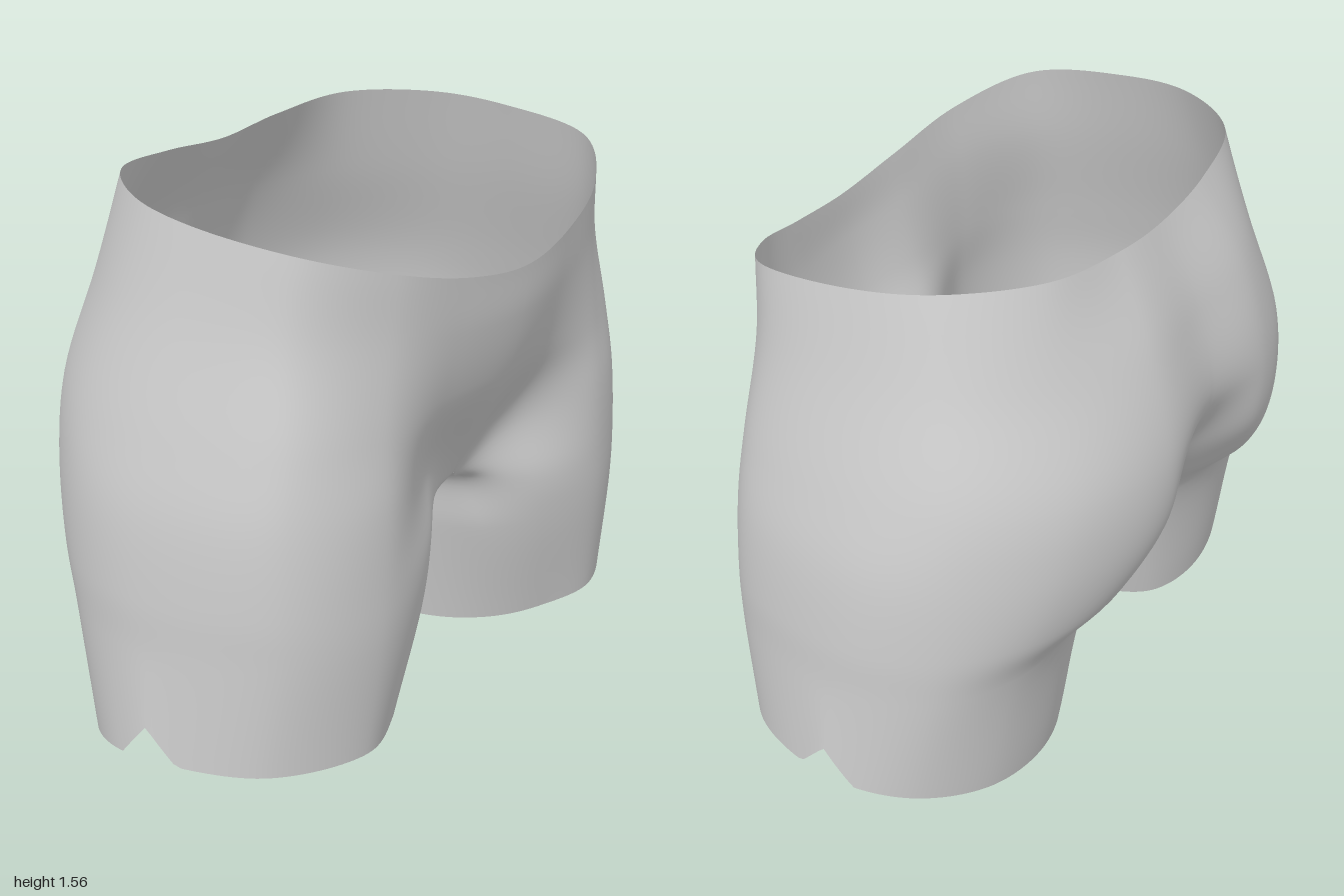
import * as THREE from 'three';
import { mergeVertices } from 'three/addons/utils/BufferGeometryUtils.js';

const V = (x, y, z) => new THREE.Vector3(x, y, z);
const points = (list) => list.map((p) => V(...p));
const mirror = (p) => V(-p.x, p.y, p.z);

// Cross-sections of the left half, running front -> outside -> back (points 0-8)
// and, on the leg, back along the inside (points 9-12).
const hem = points([
  [0.28, 0.075, 0.395], [0.41, 0.08, 0.475], [0.61, 0.09, 0.53], [0.88, 0.1, 0.385], [1, 0.105, 0.06],
  [0.93, 0.07, -0.15], [0.74, 0.028, -0.3], [0.5, 0.005, -0.34], [0.31, 0.006, -0.285],
  [0.215, 0.025, -0.16], [0.165, 0.055, -0.01], [0.14, 0.07, 0.1], [0.19, 0.07, 0.27],
]);
const thigh = points([
  [0.17, 0.42, 0.4], [0.32, 0.42, 0.51], [0.59, 0.42, 0.562], [0.86, 0.42, 0.425], [0.98, 0.42, 0.05],
  [0.91, 0.42, -0.22], [0.72, 0.44, -0.375], [0.46, 0.46, -0.418], [0.22, 0.44, -0.33],
  [0.125, 0.42, -0.21], [0.095, 0.42, -0.06], [0.09, 0.42, 0.1], [0.11, 0.42, 0.26],
]);
const upperThigh = points([
  [0.11, 0.6, 0.37], [0.27, 0.58, 0.5], [0.58, 0.57, 0.565], [0.86, 0.57, 0.425], [0.975, 0.57, 0.03],
  [0.905, 0.57, -0.24], [0.7, 0.58, -0.44], [0.4, 0.595, -0.525], [0.12, 0.6, -0.37],
  [0.068, 0.595, -0.22], [0.056, 0.595, -0.07], [0.056, 0.595, 0.08], [0.068, 0.595, 0.23],
]);
const crotch = points([
  [0, 0.67, 0.4], [0.21, 0.76, 0.45], [0.55, 0.8, 0.56], [0.84, 0.8, 0.42], [0.95, 0.8, 0.03],
  [0.885, 0.8, -0.25], [0.65, 0.8, -0.5], [0.3, 0.79, -0.607], [0, 0.77, -0.46],
]);
const seam = points([[0, 0.655, -0.3], [0, 0.615, -0.1], [0, 0.607, 0.09], [0, 0.62, 0.26]]);
const hip = points([
  [0, 1, 0.56], [0.25, 1, 0.54], [0.55, 1, 0.54], [0.8, 1, 0.41], [0.9, 1, 0.05],
  [0.84, 1, -0.255], [0.62, 1, -0.5], [0.31, 1, -0.615], [0, 1, -0.583],
]);
const belly = points([
  [0, 1.2, 0.61], [0.25, 1.21, 0.585], [0.52, 1.25, 0.53], [0.745, 1.28, 0.375], [0.81, 1.3, 0.07],
  [0.762, 1.3, -0.19], [0.58, 1.29, -0.41], [0.3, 1.28, -0.54], [0, 1.27, -0.53],
]);
const waist = points([
  [0, 1.34, 0.62], [0.25, 1.37, 0.6], [0.5, 1.435, 0.54], [0.705, 1.505, 0.385], [0.75, 1.54, 0.09],
  [0.7, 1.56, -0.14], [0.515, 1.565, -0.355], [0.25, 1.543, -0.415], [0, 1.523, -0.42],
]);

const S = 16; // columns per section point
const M = 8; // rows per section
const OUTER = 8 * S;
const COLS = 13 * S;

// Sample a smooth curve from point `from` over `segs` spans
function sample(pts, from, segs, step, closed = false) {
  const curve = new THREE.CatmullRomCurve3(pts, closed);
  const spans = closed ? pts.length : pts.length - 1;
  return Array.from({ length: segs * step + 1 }, (_, i) =>
    curve.getPoint(Math.min(1, (from + i / step) / spans)));
}

const legRing = (pts) => sample(pts, 0, 13, S, true).slice(0, COLS);
// Half ring that crosses the centre line smoothly
const bodyArc = (pts) => sample([mirror(pts[1]), ...pts, mirror(pts[7])], 1, 8, S);

function buildColumns() {
  const seamLine = sample([hip[8], crotch[8], ...seam, crotch[0], hip[0]], 1, 5, S);
  const rings = [
    ...[hem, thigh, upperThigh].map(legRing),
    [...bodyArc(crotch), ...seamLine.slice(1, -1)],
    ...[hip, belly, waist].map(bodyArc),
  ];
  const columns = [];
  for (let j = 0; j < COLS; j++) {
    // Outer columns run hem to waist, inner ones end on the centre seam
    const column = j <= OUTER
      ? sample(rings.map((r) => r[j]), 0, 6, M)
      : sample([...rings.slice(0, 4).map((r) => r[j]), mirror(rings[2][j])], 0, 3, M);
    // V notch in the outer hem
    const foot = column[0].clone();
    if (foot.x > 0.8) {
      const lift = 0.1 * Math.max(0, 1 - Math.abs(foot.z - 0.08) / 0.09);
      for (const p of column) p.y += lift * Math.max(0, 1 - (p.y - foot.y) / 0.3);
    }
    columns.push(column);
  }
  return columns;
}

function shortsGeometry() {
  const columns = buildColumns();
  const positions = [];
  const index = [];
  for (const side of [1, -1]) {
    const ids = columns.map((column) => column.map((p) => {
      positions.push(Math.abs(p.x) < 1e-5 ? 0 : side * p.x, p.y, p.z);
      return positions.length / 3 - 1;
    }));
    for (let j = 0; j < COLS; j++) {
      const here = ids[j];
      const next = ids[(j + 1) % COLS];
      const rows = j < OUTER ? 6 * M : 3 * M;
      for (let i = 0; i < rows; i++) {
        const [a, b, c, d] = [here[i], next[i], next[i + 1], here[i + 1]];
        if (side > 0) index.push(a, b, c, a, c, d);
        else index.push(a, c, b, a, d, c);
      }
    }
  }
  let geometry = new THREE.BufferGeometry();
  geometry.setAttribute('position', new THREE.Float32BufferAttribute(positions, 3));
  geometry.setIndex(index);
  geometry = mergeVertices(geometry, 1e-5); // weld the halves along the centre
  geometry.computeVertexNormals();
  return geometry;
}

export function createModel() {
  const group = new THREE.Group();
  group.name = 'shorts';
  const material = new THREE.MeshStandardMaterial({ color: 0xcccccc, side: THREE.DoubleSide });
  const shell = new THREE.Mesh(shortsGeometry(), material);
  shell.name = 'shortsFabric';
  group.add(shell);
  return group;
}
